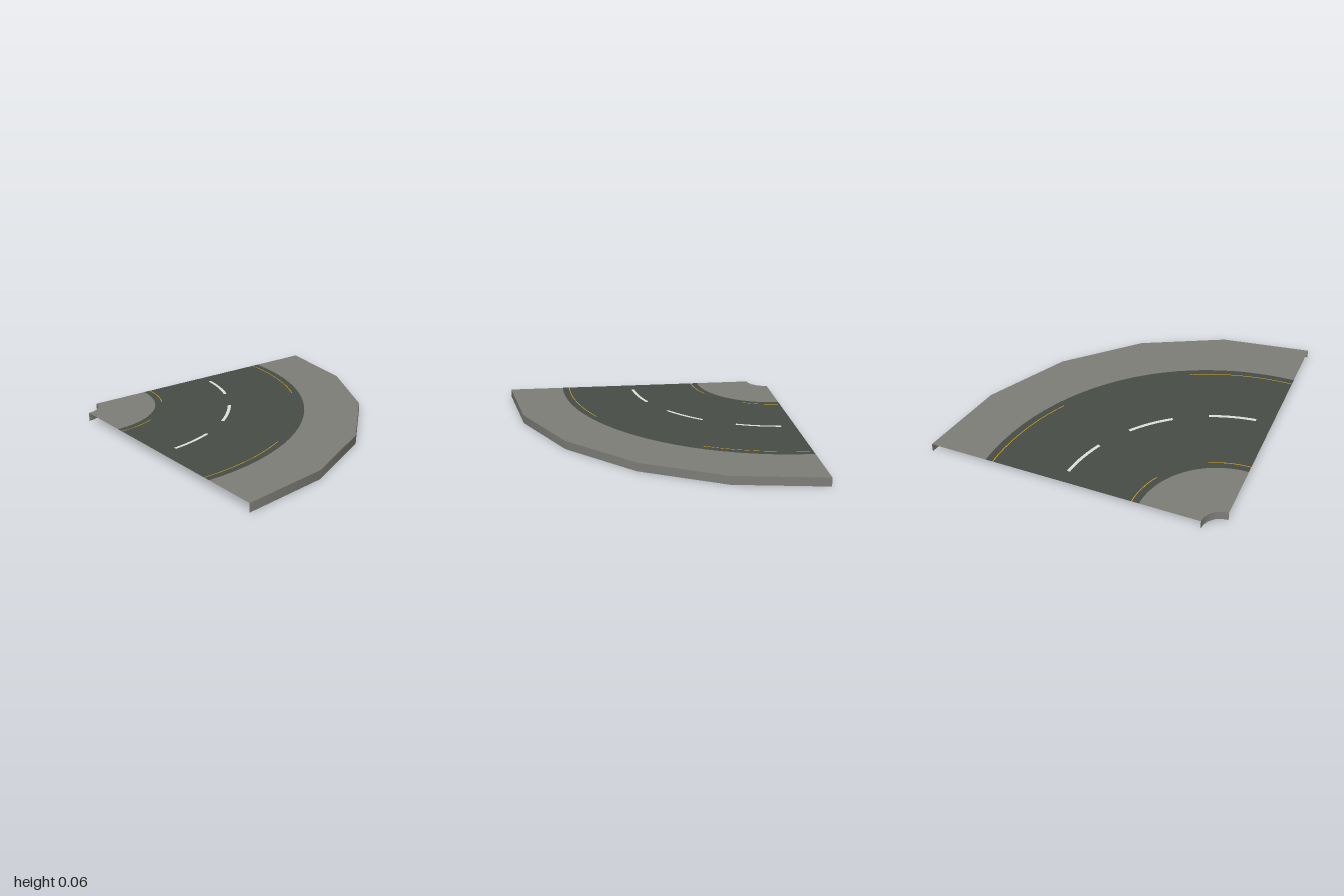
import * as THREE from 'three';

const TOP = 0.06;
const RAD = Math.PI / 180;

function material(name, color) {
  const m = new THREE.MeshStandardMaterial({ color, side: THREE.DoubleSide });
  m.name = name;
  return m;
}

// Flat ring sector around the bend centre; each edge has its own segment count
function sector(r0, n0, r1, n1, a0 = 0, a1 = 90, y = TOP) {
  const pts = [];
  const at = (r, t) => {
    const a = (a0 + (a1 - a0) * t) * RAD;
    return new THREE.Vector2(r * Math.cos(a), r * Math.sin(a));
  };
  for (let i = 0; i <= n1; i++) pts.push(at(r1, i / n1));
  for (let i = n0; i >= 0; i--) pts.push(at(r0, i / n0));
  return new THREE.ShapeGeometry(new THREE.Shape(pts)).rotateX(-Math.PI / 2).translate(0, y, 0);
}

// Open upright wall following a quarter turn
function wall(r) {
  return new THREE.CylinderGeometry(r, r, TOP, 5, 1, true, Math.PI / 2, Math.PI / 2)
    .translate(0, TOP / 2, 0);
}

export function createModel() {
  const group = new THREE.Group();
  group.name = 'roadBend';

  const concrete = material('concrete grey', 0x7e7e79);
  const asphalt = material('asphalt', 0x484d46);
  const white = material('line white', 0xe0e0dc);
  const yellow = material('line yellow', 0xd0a010);

  // All parts turn around the tile's front left corner
  const add = (name, geometry, mat) => {
    const mesh = new THREE.Mesh(geometry, mat);
    mesh.name = name;
    mesh.position.set(-1, 0, 1);
    group.add(mesh);
  };

  // Pavements and their skirts, open underneath
  add('outerPavement', sector(1.6, 24, 2, 5), concrete);
  add('innerPavement', sector(0.134, 5, 0.535, 24), concrete);
  add('outerSkirt', wall(2), concrete);
  add('innerSkirt', wall(0.134), concrete);

  // Road surface
  add('road', sector(0.535, 24, 1.6, 24), asphalt);

  // Dashed centre line
  for (const mid of [14.7, 45.3, 75.9]) {
    add('centreDash', sector(1.053, 8, 1.076, 8, mid - 8.6, mid + 8.6, TOP + 0.001), white);
  }

  // Thin edge lines near both ends of the bend
  for (const r of [0.584, 1.549]) {
    for (const [a, b] of [[0, 27], [63, 90]]) {
      add('edgeLine', sector(r - 0.003, 10, r + 0.003, 10, a, b, TOP + 0.0006), yellow);
    }
  }
  return group;
}
